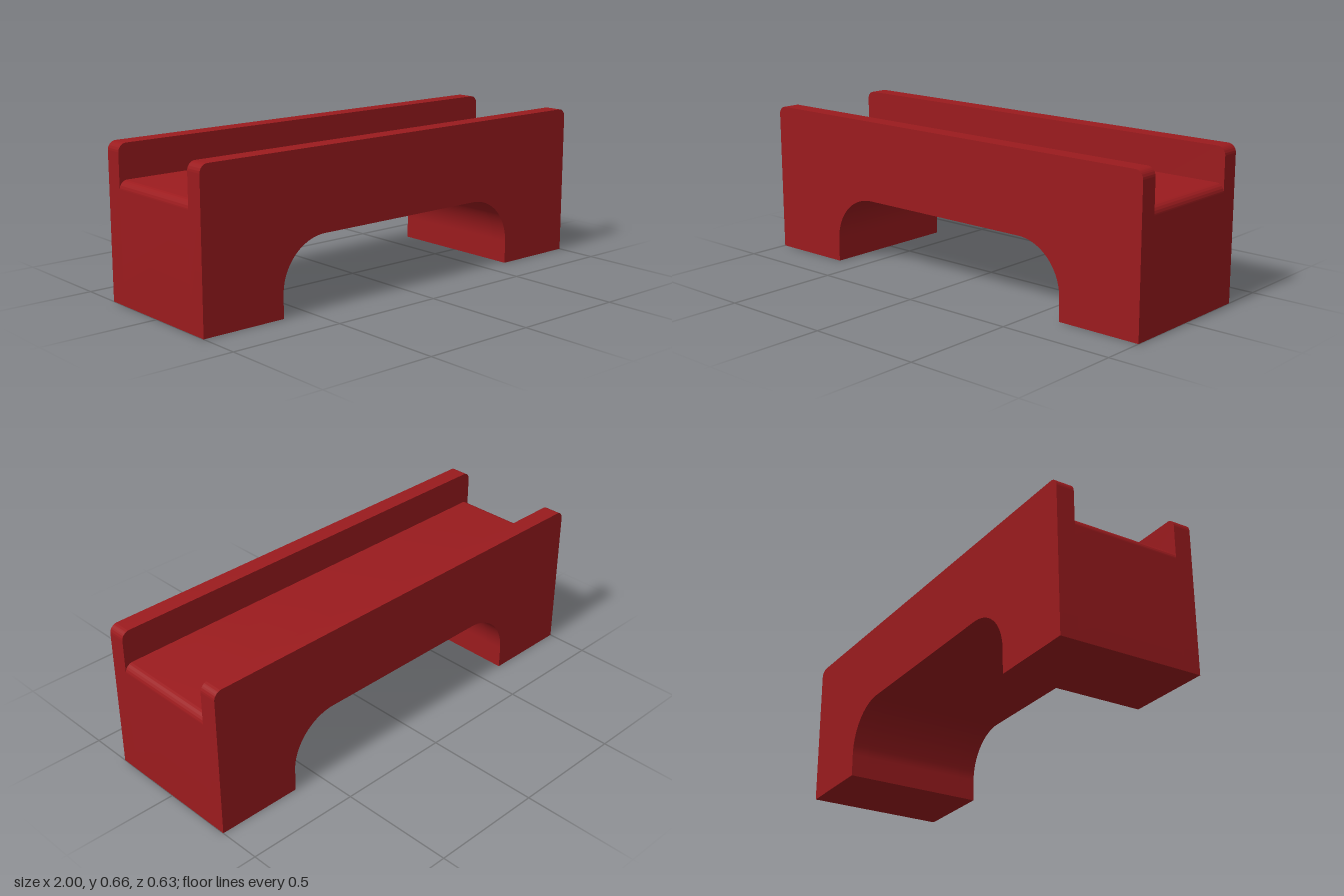
import * as THREE from 'three';
import { toCreasedNormals } from 'three/addons/utils/BufferGeometryUtils.js';

const HALF_DEPTH = 0.315, DECK_HALF = 0.237;
const DECK_TOP = 0.51, RAIL_TOP = 0.657;
const CORNER = 0.036;
const ARCH_HALF = 0.625, ARCH_TOP = 0.308, ARCH_RADIUS = 0.21;

// Bridge silhouette: rounded upper corners, rounded arch cut out below
function bridgeShape(top) {
  const s = new THREE.Shape();
  s.moveTo(-1, 0);
  s.lineTo(-ARCH_HALF, 0);
  s.lineTo(-ARCH_HALF, ARCH_TOP - ARCH_RADIUS);
  s.absarc(-ARCH_HALF + ARCH_RADIUS, ARCH_TOP - ARCH_RADIUS, ARCH_RADIUS, Math.PI, Math.PI / 2, true);
  s.absarc(ARCH_HALF - ARCH_RADIUS, ARCH_TOP - ARCH_RADIUS, ARCH_RADIUS, Math.PI / 2, 0, true);
  s.lineTo(ARCH_HALF, 0);
  s.lineTo(1, 0);
  s.absarc(1 - CORNER, top - CORNER, CORNER, 0, Math.PI / 2, false);
  s.absarc(-1 + CORNER, top - CORNER, CORNER, Math.PI / 2, Math.PI, false);
  s.closePath();
  return s;
}

export function createModel() {
  const group = new THREE.Group();
  group.name = 'bridgeBlock';
  const material = new THREE.MeshStandardMaterial({ color: 0x9b1b1e });

  // One slice of the bridge between two depths
  function addSlice(name, top, zBack, zFront) {
    const extruded = new THREE.ExtrudeGeometry(bridgeShape(top), {
      depth: zFront - zBack, bevelEnabled: false, curveSegments: 16,
    });
    const mesh = new THREE.Mesh(toCreasedNormals(extruded, Math.PI / 6), material);
    mesh.position.z = zBack;
    mesh.name = name;
    group.add(mesh);
  }

  // Low deck between two taller side walls
  addSlice('deck', DECK_TOP, -DECK_HALF, DECK_HALF);
  addSlice('frontWall', RAIL_TOP, DECK_HALF, HALF_DEPTH);
  addSlice('backWall', RAIL_TOP, -HALF_DEPTH, -DECK_HALF);

  return group;
}
